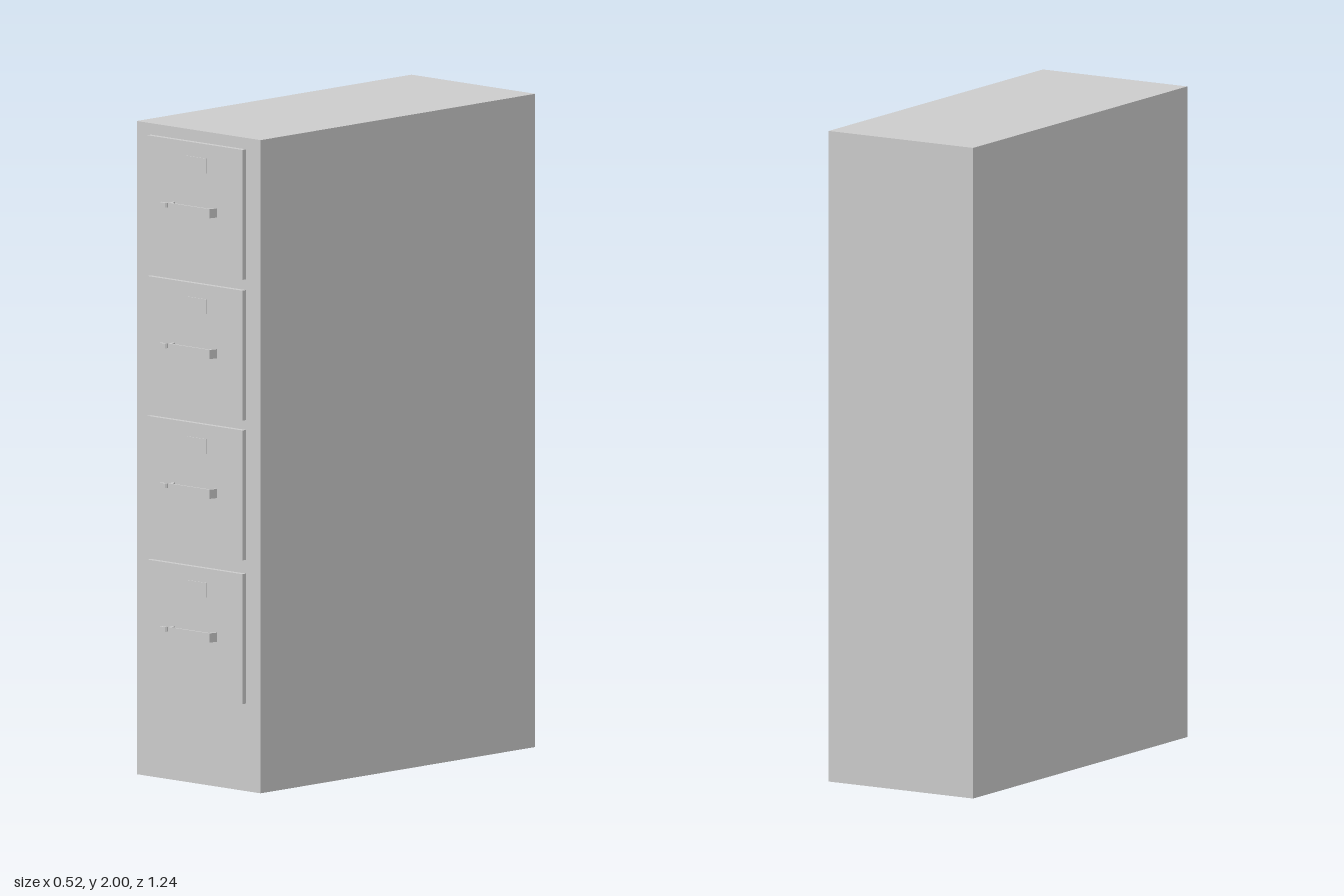
import * as THREE from 'three';

const material = new THREE.MeshStandardMaterial({ color: 0xcccccc, flatShading: true });
const FACE = 0.594; // z of the drawer fronts

function add(parent, name, geometry, x, y, z) {
  const mesh = new THREE.Mesh(geometry, material);
  mesh.name = name;
  mesh.position.set(x, y, z);
  parent.add(mesh);
  return mesh;
}

// Plan outline in (x, forward) raised to a height, centred vertically
function planExtrude(points, height) {
  const shape = new THREE.Shape(points.map(([x, z]) => new THREE.Vector2(x, -z)));
  const geometry = new THREE.ExtrudeGeometry(shape, { depth: height, bevelEnabled: false });
  geometry.translate(0, 0, -height / 2);
  return geometry.rotateX(-Math.PI / 2);
}

export function createModel() {
  const model = new THREE.Group();
  model.name = 'filingCabinet';

  // Cabinet body
  add(model, 'body', new THREE.BoxGeometry(0.518, 2, 1.2), 0, 1, -0.022);

  // Bow handle: slanted legs joined by a flat grip
  const handle = planExtrude([
    [-0.092, 0], [-0.086, 0.026], [0.086, 0.026], [0.092, 0],
    [0.084, 0], [0.076, 0.02], [-0.076, 0.02], [-0.084, 0],
  ], 0.028);
  // Thumb latch with chamfered front corners
  const latch = planExtrude([
    [-0.014, 0], [-0.014, 0.005], [-0.01, 0.009], [0.01, 0.009], [0.014, 0.005], [0.014, 0],
  ], 0.014);
  const front = new THREE.BoxGeometry(0.398, 0.398, 0.018);
  const label = new THREE.BoxGeometry(0.08, 0.045, 0.006);

  // Four drawers
  [0.467, 0.907, 1.335, 1.766].forEach((y, i) => {
    const drawer = new THREE.Group();
    drawer.name = `drawer${i + 1}`;
    drawer.position.set(0, y, FACE);
    model.add(drawer);
    add(drawer, 'drawerFront', front, -0.001, 0, -0.009);
    add(drawer, 'handle', handle, 0, -0.006, 0);
    add(drawer, 'latch', latch, -0.127, -0.005, 0);
    add(drawer, 'labelPlate', label, 0.008, 0.133, 0);
  });
  return model;
}
